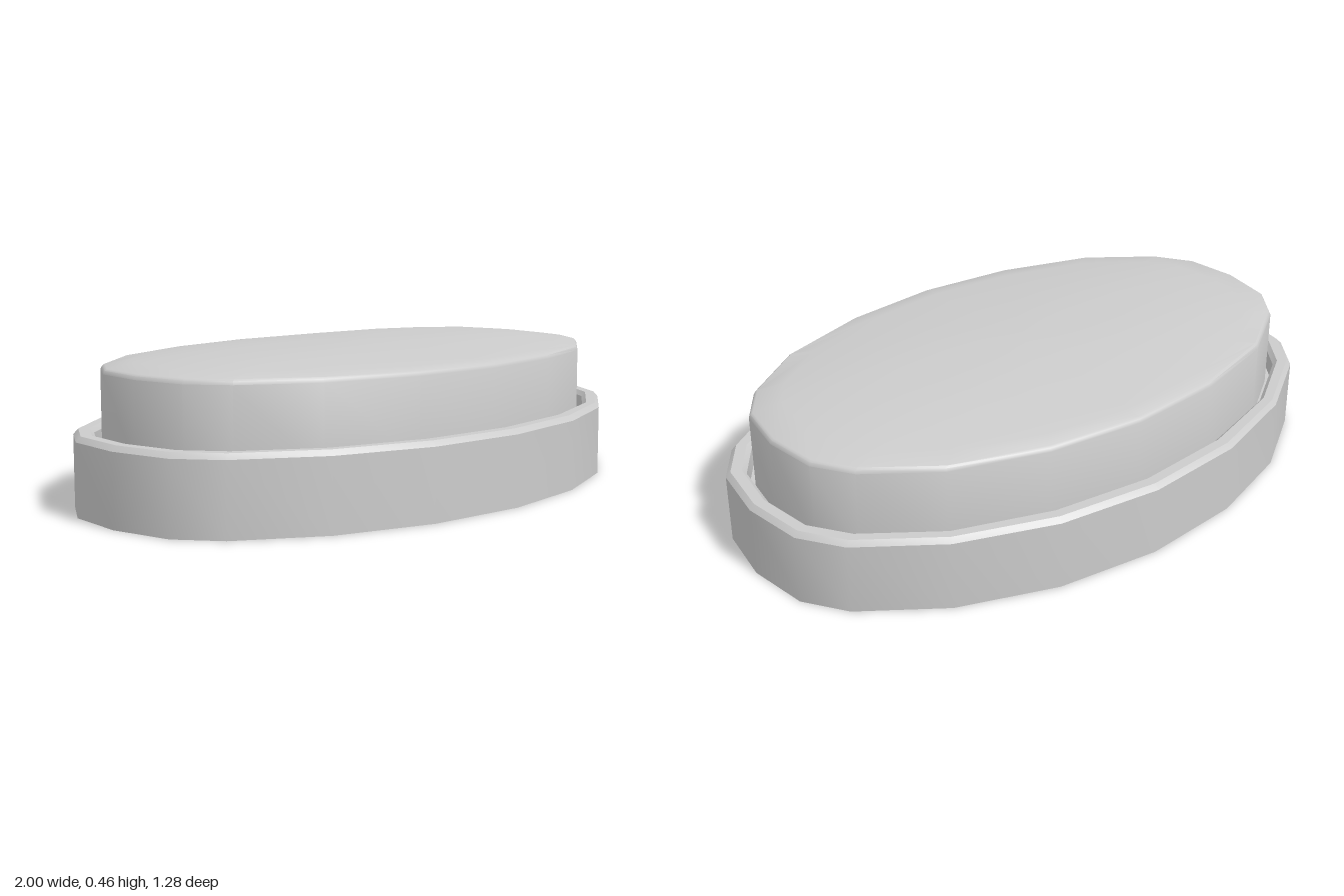
import * as THREE from 'three';
import { toCreasedNormals } from 'three/addons/utils/BufferGeometryUtils.js';

// Quarter outlines [x, z] of the base and of the cap, from the side (+x) to the front (+z)
const BASE = [[1, 0], [0.97, 0.2], [0.88, 0.33], [0.64, 0.495], [0.335, 0.603], [0, 0.64]];
const CAP = [[0.915, 0], [0.89, 0.17], [0.81, 0.285], [0.605, 0.43], [0.31, 0.523], [0, 0.555]];
const INSET = 0.085; // distance between the two outlines

// Full 20-sided outline, moved inward from the base edge by the given distance
function outline(inset) {
  const t = inset / INSET;
  const q = BASE.map(([x, z], i) => [x + (CAP[i][0] - x) * t, z + (CAP[i][1] - z) * t]);
  const half = [...q, ...q.slice(0, -1).reverse().map(([x, z]) => [-x, z])];
  return [...half, ...half.slice(1, -1).reverse().map(([x, z]) => [x, -z])];
}

// One cross-section: inset outline, shrunk by scale, at height y
const ring = (inset, y, scale = 1) =>
  outline(inset).map(([x, z]) => new THREE.Vector3(x * scale, y, z * scale));

// Skin a list of rings, keeping the edges of the bevels sharp
function loft(name, rings, material) {
  const pos = [];
  const tri = (a, b, c) => {
    if (a.distanceTo(b) > 1e-6 && b.distanceTo(c) > 1e-6 && c.distanceTo(a) > 1e-6)
      pos.push(...a.toArray(), ...b.toArray(), ...c.toArray());
  };
  for (let i = 0; i < rings.length - 1; i++) {
    const lo = rings[i], hi = rings[i + 1], n = lo.length;
    for (let j = 0; j < n; j++) {
      const k = (j + 1) % n;
      tri(lo[j], hi[j], hi[k]);
      tri(lo[j], hi[k], lo[k]);
    }
  }
  const geo = new THREE.BufferGeometry();
  geo.setAttribute('position', new THREE.Float32BufferAttribute(pos, 3));
  const mesh = new THREE.Mesh(toCreasedNormals(geo, Math.PI / 6), material);
  mesh.name = name;
  return mesh;
}

// Crowned top: flatter along the length than across the width
function domeRing(inset, scale, edgeY, rise) {
  return ring(inset, edgeY, scale).map((p) => {
    const along = Math.abs(p.x) / (Math.hypot(p.x, p.z * 1.65) || 1);
    const power = 1.7 + 2.3 * along * along;
    p.y += rise * (1 - Math.pow(scale, power));
    return p;
  });
}

export function createModel() {
  const group = new THREE.Group();
  group.name = 'ovalButton';
  const material = new THREE.MeshStandardMaterial({ color: 0xcccccc });

  // Bezel: flat underside, bevelled rim and a narrow groove around the cap
  group.add(loft('bezel', [
    ring(0, 0, 0), ring(0, 0), ring(0, 0.22), ring(0.015, 0.236),
    ring(0.048, 0.236), ring(0.062, 0.222), ring(0.062, 0.16), ring(0.1, 0.16),
  ], material));

  // Cap: straight wall, small bevel and crowned top
  const rings = [ring(0.085, 0.16), ring(0.085, 0.41), ring(0.09, 0.42), ring(0.097, 0.425)];
  for (let i = 9; i >= 0; i--) rings.push(domeRing(0.097, i / 10, 0.425, 0.038));
  group.add(loft('cap', rings, material));

  return group;
}
